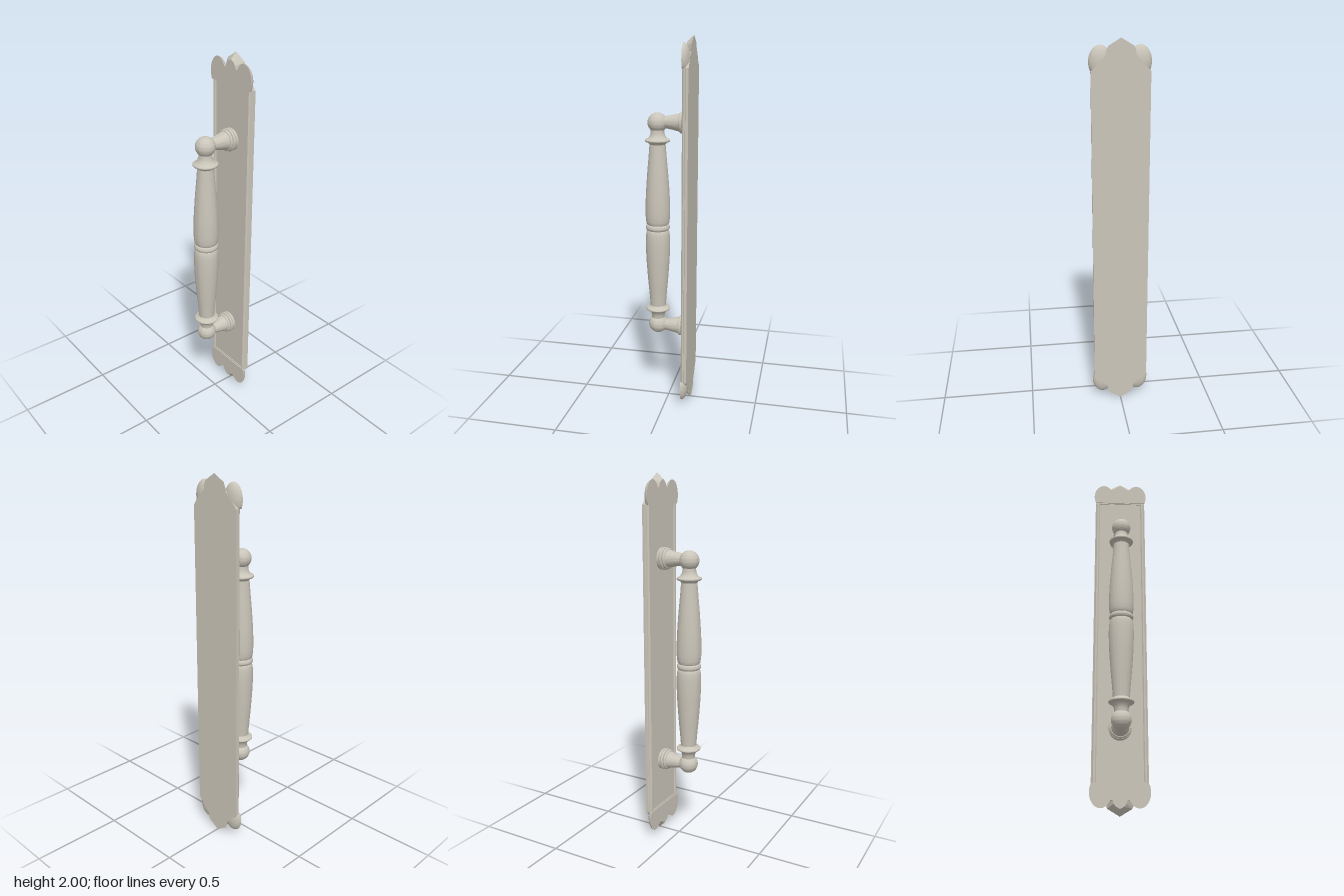
import * as THREE from 'three';
import { toCreasedNormals } from 'three/addons/utils/BufferGeometryUtils.js';

const BACK = -0.13, FRONT = -0.096;

export function createModel() {
  const root = new THREE.Group();
  const metal = new THREE.MeshStandardMaterial({ color: 0xcac5b9 });
  metal.name = 'satin nickel';

  const add = (parent, name, geometry, crease = 0.5) => {
    const mesh = new THREE.Mesh(toCreasedNormals(geometry, crease), metal);
    mesh.name = name;
    parent.add(mesh);
    return mesh;
  };
  const vec = (list) => list.map(([x, y]) => new THREE.Vector2(x, y));
  const lathe = (points, sides = 48) => new THREE.LatheGeometry(vec(points), sides);
  const mirrorX = (half) => [...half, ...half.filter((p) => p[0] !== 0).reverse().map(([x, y]) => [-x, y])];

  // Half-round bead for turned profiles
  const bead = (r, y, bulge, half) => Array.from({ length: 9 }, (_, i) => {
    const a = -Math.PI / 2 + (i / 8) * Math.PI;
    return [r + Math.cos(a) * bulge, y + Math.sin(a) * half];
  });

  // Back plate: moulded cross-section with raised rims and a sunken panel
  const section = mirrorX([[0.147, 0.13], [0.147, 0.116], [0.143, 0.113], [0.143, 0.105],
    [0.136, 0.097], [0.127, 0.097], [0.121, 0.104]]).map(([x, y]) => [x, y]);
  const plate = new THREE.ExtrudeGeometry(new THREE.Shape(vec(section)), { depth: 1.688, bevelEnabled: false });
  plate.rotateX(-Math.PI / 2).translate(0, 0.156, 0);
  add(root, 'backPlate', plate, 0.3);

  // Leaf point: narrow outline in front, wider outline behind
  const leafGeometry = () => {
    const front = mirrorX([[0.037, 1.85], [0.037, 1.925], [0.032, 1.943], [0.02, 1.957], [0, 1.968]]);
    const back = mirrorX([[0.055, 1.85], [0.074, 1.935], [0.063, 1.962], [0.033, 1.98], [0, 2]]);
    const n = front.length, pos = [];
    const f = (i) => [...front[i % n], FRONT], b = (i) => [...back[i % n], BACK];
    for (let i = 0; i < n; i++) {
      const j = i + 1;
      pos.push(...f(i), ...b(i), ...b(j), ...f(i), ...b(j), ...f(j));
      pos.push(0, 1.9, FRONT, ...f(i), ...f(j), 0, 1.9, BACK, ...b(j), ...b(i));
    }
    const g = new THREE.BufferGeometry();
    g.setAttribute('position', new THREE.Float32BufferAttribute(pos, 3));
    g.computeVertexNormals();
    return g;
  };

  // Lobe: half ellipsoid, flat in front and rolled towards the back, cut off level with the panel
  const lobeGeometry = (side) => {
    const points = Array.from({ length: 11 }, (_, i) => {
      const a = (i / 10) * Math.PI / 2;
      return [Math.sin(a) * 0.057, (BACK - FRONT) * Math.cos(a)];
    });
    const g = lathe([...points, [0, 0]]);
    g.rotateX(Math.PI / 2).scale(1, 0.08 / 0.057, 1).translate(side * 0.098, 1.885, FRONT);
    const p = g.attributes.position;
    for (let i = 0; i < p.count; i++) p.setY(i, Math.max(p.getY(i), 1.842));
    return g;
  };

  const buildEnd = (name) => {
    const end = new THREE.Group();
    end.name = name;
    const outline = mirrorX([[0.142, 1.842], [0.135, 1.856], [0.1, 1.89], [0.075, 1.92], [0.037, 1.926]]);
    const body = new THREE.ExtrudeGeometry(new THREE.Shape(vec(outline)), { depth: FRONT - BACK, bevelEnabled: false });
    add(end, 'endBody', body.translate(0, 0, BACK));
    add(end, 'leafPoint', leafGeometry(), 0.2);
    for (const side of [-1, 1]) add(end, 'lobe', lobeGeometry(side), 0.6);
    // Small step along the panel edge
    add(end, 'panelEdge', new THREE.BoxGeometry(0.25, 0.007, 0.012).translate(0, 1.8385, -0.106));

    // Post with two rings at its foot, standing out from the plate
    const post = lathe([[0, -0.11], [0.058, -0.11], [0.058, -0.092], ...bead(0.052, -0.084, 0.008, 0.008),
      [0.051, -0.076], ...bead(0.048, -0.068, 0.008, 0.008), [0.047, -0.06], [0.038, -0.02],
      [0.031, 0.018], [0.03, 0.024], [0, 0.03]]);
    add(end, 'post', post.rotateX(Math.PI / 2).translate(0, 1.565, 0), 0.6);

    // Ball and flared collar at the end of the grip
    add(end, 'ball', new THREE.SphereGeometry(0.052, 40, 24).translate(0, 1.562, 0.06), 3);
    const collar = lathe([[0, 1.448], [0.042, 1.448], [0.047, 1.455], [0.054, 1.46],
      ...bead(0.058, 1.469, 0.008, 0.008), [0.05, 1.481], [0.041, 1.493], [0.036, 1.507], [0.035, 1.525], [0, 1.53]]);
    add(end, 'collar', collar.translate(0, 0, 0.06), 0.7);
    root.add(end);
    return end;
  };
  buildEnd('topEnd');
  const bottom = buildEnd('bottomEnd');
  bottom.rotation.z = Math.PI;
  bottom.position.y = 2;

  // Turned grip: two swelling halves meeting at a central ring
  const swell = new THREE.SplineCurve(vec([[0.061, 0.022], [0.065, 0.05], [0.066, 0.1], [0.0635, 0.18],
    [0.056, 0.29], [0.048, 0.38], [0.042, 0.455]])).getPoints(24).map((p) => [p.x, p.y]);
  const upper = [[0.056, 0.016], ...swell, [0, 0.456]];
  const lower = upper.map(([x, y]) => [x, -y]).reverse();
  const grip = lathe([...lower, ...bead(0.057, 0, 0.008, 0.014), ...upper]);
  add(root, 'grip', grip.translate(0, 1, 0.06), 0.6);

  return root;
}
